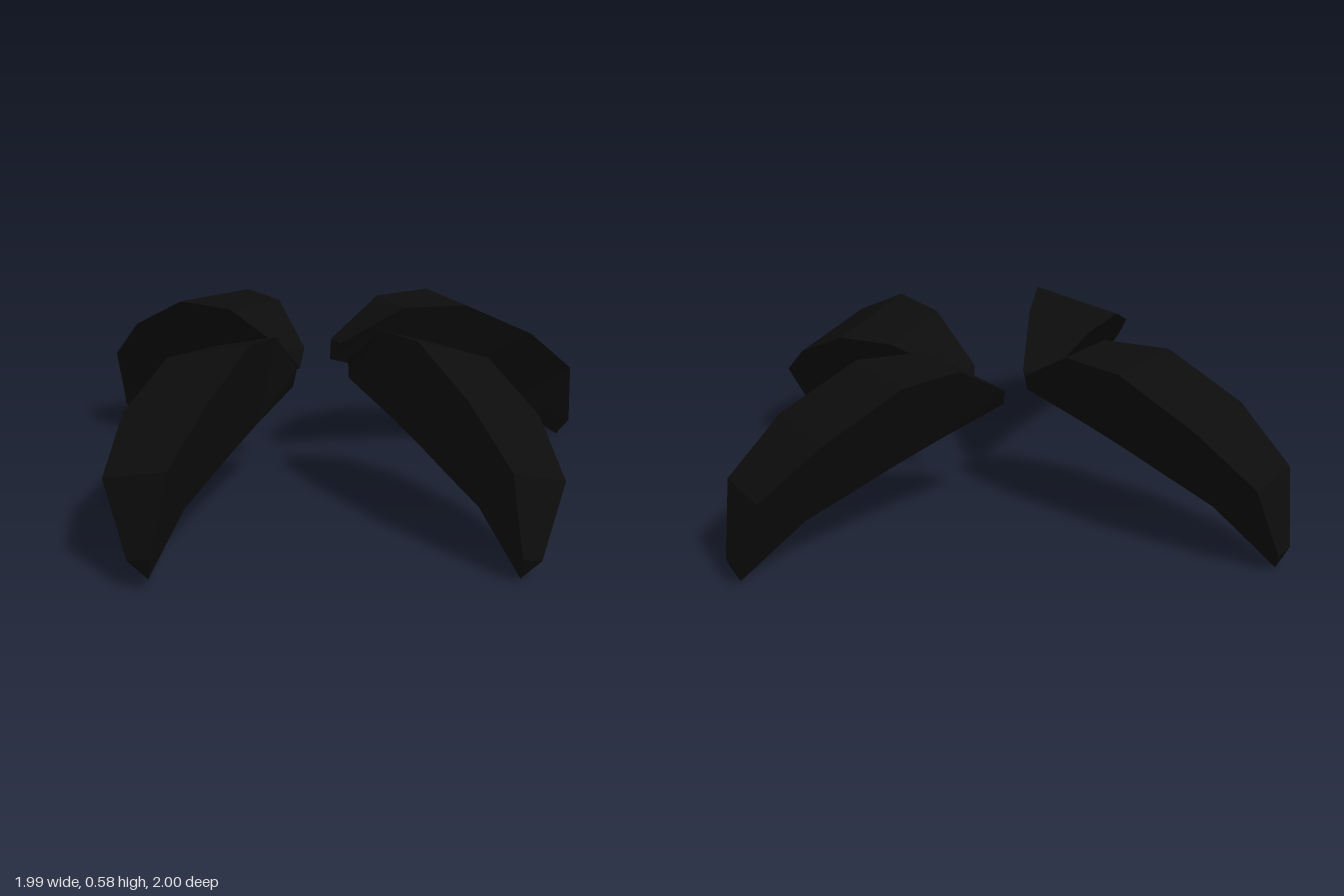
import * as THREE from 'three';

// Cross-sections of one arched petal: flat top rim and a keel below.
// [rim distance, rim height, half width, keel distance, keel height]
const SECTIONS = [
  [0.09, 0.44, 0.04, 0.07, 0.38],
  [0.29, 0.56, 0.11, 0.30, 0.31],
  [0.50, 0.56, 0.15, 0.45, 0.26],
  [0.755, 0.44, 0.15, 0.60, 0.205],
  [0.945, 0.29, 0.11, 0.755, 0.15],
  [0.995, 0.07, 0.04, 0.97, 0.01],
];
const PIVOT = { y: 0.56, z: 0.50 };

function petalGeometry() {
  const rings = SECTIONS.map(([rz, ry, w, kz, ky]) => [
    [-w, ry - PIVOT.y, rz - PIVOT.z],
    [w, ry - PIVOT.y, rz - PIVOT.z],
    [0, ky - PIVOT.y, kz - PIVOT.z],
  ]);
  const positions = [];
  const tri = (a, b, c) => positions.push(...a, ...b, ...c);

  // Top and two flanks between neighbouring sections
  for (let i = 0; i < rings.length - 1; i++) {
    const near = rings[i], far = rings[i + 1];
    for (let j = 0; j < 3; j++) {
      const k = (j + 1) % 3;
      tri(near[j], far[j], far[k]);
      tri(near[j], far[k], near[k]);
    }
  }
  // End caps
  const first = rings[0], last = rings[rings.length - 1];
  tri(first[0], first[1], first[2]);
  tri(last[0], last[2], last[1]);

  const geometry = new THREE.BufferGeometry();
  geometry.setAttribute('position', new THREE.Float32BufferAttribute(positions, 3));
  geometry.computeVertexNormals();
  return geometry;
}

export function createModel() {
  const group = new THREE.Group();
  group.name = 'petals';
  const black = new THREE.MeshStandardMaterial({ color: 0x0c0c0c, flatShading: true });
  black.name = 'black';
  const geometry = petalGeometry();

  // Each petal: name, pivot position, then yaw, pitch and roll in degrees
  const petals = [
    ['backPetal', [-0.04, 0.56, -0.502], 180, 0, 0],
    ['leftPetal', [0.515, 0.56, 0.07], 68, 0, 0],
    ['rightPetal', [-0.52, 0.545, 0.05], -73, -4, 14],
    ['frontPetal', [0.03, 0.54, 0.525], -6.5, 0, -18],
  ];
  const rad = THREE.MathUtils.degToRad;
  for (const [name, position, yaw, pitch, roll] of petals) {
    const petal = new THREE.Mesh(geometry, black);
    petal.name = name;
    petal.position.set(...position);
    petal.rotation.set(rad(pitch), rad(yaw), rad(roll), 'YXZ');
    group.add(petal);
  }
  return group;
}
